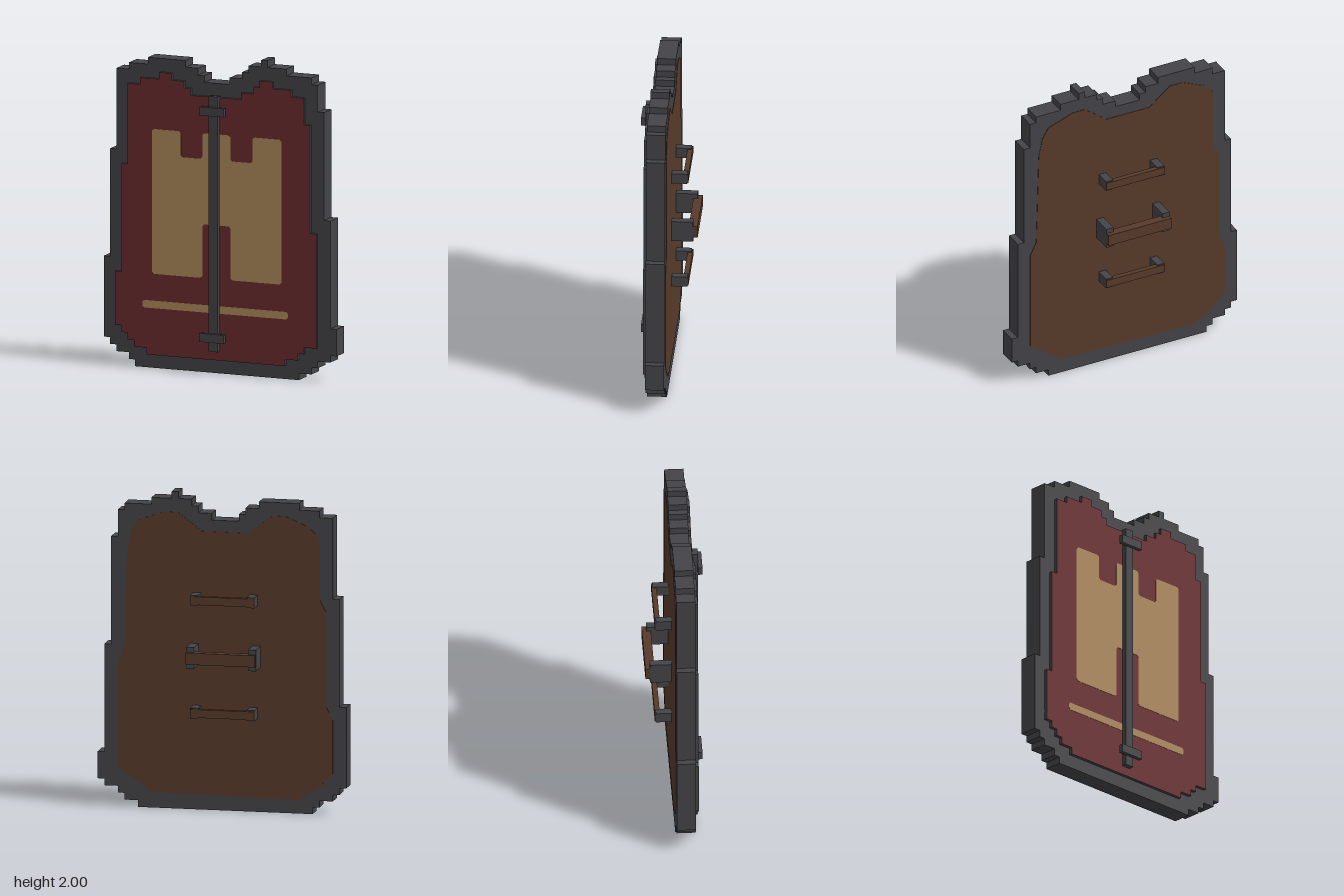
import * as THREE from 'three';

const mat = (name, color) => {
  const m = new THREE.MeshStandardMaterial({ color });
  m.name = name;
  return m;
};

const U = 2 / 47; // one block of the stepped outlines (37 wide, 47 high)
const toShape = (pts) => new THREE.Shape(pts.map(([x, y]) => new THREE.Vector2(x, y)));
const onGrid = (pts) => pts.map(([c, r]) => [(c - 18.5) * U, r * U]);

// Stepped outline: start at (x, y), then alternate new y, new x, new y ...
function steps(x, y, moves) {
  const pts = [[x, y]];
  moves.forEach((v, i) => {
    if (i % 2) x = v; else y = v;
    pts.push([x, y]);
  });
  return onGrid(pts);
}

// Slab between two z positions
function slab(name, pts, z0, z1, material) {
  const geo = new THREE.ExtrudeGeometry(toShape(pts), { depth: z1 - z0, bevelEnabled: false });
  geo.translate(0, 0, z0);
  const mesh = new THREE.Mesh(geo, material);
  mesh.name = name;
  return mesh;
}

// Box given by its limits
function block(name, [x0, x1], [y0, y1], [z0, z1], material) {
  const mesh = new THREE.Mesh(new THREE.BoxGeometry(x1 - x0, y1 - y0, z1 - z0), material);
  mesh.position.set((x0 + x1) / 2, (y0 + y1) / 2, (z0 + z1) / 2);
  mesh.name = name;
  return mesh;
}

export function createModel() {
  const iron = mat('dark iron', 0x444448);
  const red = mat('deep red', 0x6b2c2e);
  const tan = mat('tan paint', 0xb08a5c);
  const wood = mat('brown wood', 0x573a2a);
  const model = new THREE.Group();
  model.name = 'shield';

  // Iron body with the stepped rim
  const rim = steps(5, 0, [
    1, 4, 2, 2, 3, 1, 4, 0, 16, 1, 32, 2, 44, 4, 45, 7, 46, 13, 45, 15, 44, 16, 43, 20, 44, 22,
    45, 23, 46, 25, 47, 26, 46, 29, 45, 33, 44, 34, 40, 35, 24, 36, 8, 37, 4, 36, 3, 34, 2, 33, 1, 31, 0,
  ]);
  model.add(slab('body', rim, -0.015, 0.103, iron));

  // Raised front panel: red face, iron edge
  const panel = steps(7, 2, [
    3, 5, 4, 4, 5, 3, 6, 2, 14, 3, 30, 4, 42, 6, 43, 9, 44, 11, 43, 13, 42, 14, 41, 22, 42, 24,
    43, 25, 44, 27, 43, 30, 42, 32, 38, 33, 22, 34, 5, 32, 4, 31, 3, 29, 2,
  ]);
  model.add(slab('frontPanel', panel, 0.103, 0.124, [red, iron]));

  // Wooden back panel, a softened version of the front panel
  const back = onGrid([
    [7, 2], [4, 4], [2, 6], [2, 14], [3, 16], [3, 30], [4, 32], [4, 41], [5.5, 42.5], [9, 44], [11, 44],
    [14.5, 41.3], [21.5, 41.3], [25, 44], [27, 44], [31, 42.6], [32, 41], [32.6, 38], [33, 23.5],
    [34, 21.5], [34, 6], [32, 4.5], [29, 2.3],
  ]);
  model.add(slab('backPanel', back, -0.018, -0.015, wood));

  // Painted emblem with two upper notches and one lower notch
  const c = 0.012;
  model.add(slab('emblem', [
    [-0.45 + c, 0.598], [-0.45, 0.598 + c], [-0.45, 1.513 - c], [-0.45 + c, 1.513],
    [-0.257 - c, 1.513], [-0.257, 1.513 - c], [-0.257, 1.35 + c], [-0.257 + c, 1.35],
    [-0.11 - c, 1.35], [-0.11, 1.35 + c], [-0.11, 1.513 - c], [-0.11 + c, 1.513],
    [0.08 - c, 1.513], [0.08, 1.513 - c], [0.08, 1.35 + c], [0.08 + c, 1.35],
    [0.23 - c, 1.35], [0.23, 1.35 + c], [0.23, 1.513 - c], [0.23 + c, 1.513],
    [0.425 - c, 1.513], [0.425, 1.513 - c], [0.425, 0.598 + c], [0.425 - c, 0.598],
    [0.08 + c, 0.598], [0.08, 0.598 + c], [0.08, 0.937 - c], [0.08 - c, 0.937],
    [-0.11 + c, 0.937], [-0.11, 0.937 - c], [-0.11, 0.598 + c], [-0.11 - c, 0.598],
  ], 0.124, 0.126, tan));

  // Painted stripe below it
  model.add(slab('stripe', [
    [-0.516 + c, 0.381], [-0.516, 0.381 + c], [-0.516, 0.429 - c], [-0.516 + c, 0.429],
    [0.468 - c, 0.429], [0.468, 0.429 - c], [0.468, 0.381 + c], [0.468 - c, 0.381],
  ], 0.124, 0.126, tan));

  // Central rod with a clamp at each end
  model.add(block('centreRod', [-0.056, 0.005], [0.143, 1.755], [0.12, 0.156], iron));
  for (const y of [0.232, 1.662]) {
    model.add(block('rodClamp', [-0.108, 0.058], [y - 0.027, y + 0.027], [0.153, 0.181], iron));
  }

  // Three grips on the back: slim upper and lower ones, a stout middle one
  const grips = [
    { name: 'upperGrip', y: 1.337, x: [-0.227, 0.181], mount: 0.033, mountZ: -0.115, bar: 0.026, barZ: [-0.122, -0.09] },
    { name: 'middleGrip', y: 0.981, x: [-0.244, 0.198], mount: 0.067, mountZ: -0.153, bar: 0.037, barZ: [-0.181, -0.125] },
    { name: 'lowerGrip', y: 0.625, x: [-0.227, 0.181], mount: 0.033, mountZ: -0.115, bar: 0.026, barZ: [-0.122, -0.09] },
  ];
  for (const g of grips) {
    const grip = new THREE.Group();
    grip.name = g.name;
    const [x0, x1] = g.x;
    for (const span of [[x0, x0 + 0.05], [x1 - 0.05, x1]]) {
      grip.add(block('gripMount', span, [g.y - g.mount, g.y + g.mount], [g.mountZ, -0.01], iron));
    }
    grip.add(block('gripBar', [x0 + 0.001, x1 - 0.001], [g.y - g.bar, g.y + g.bar], g.barZ, wood));
    model.add(grip);
  }
  return model;
}
